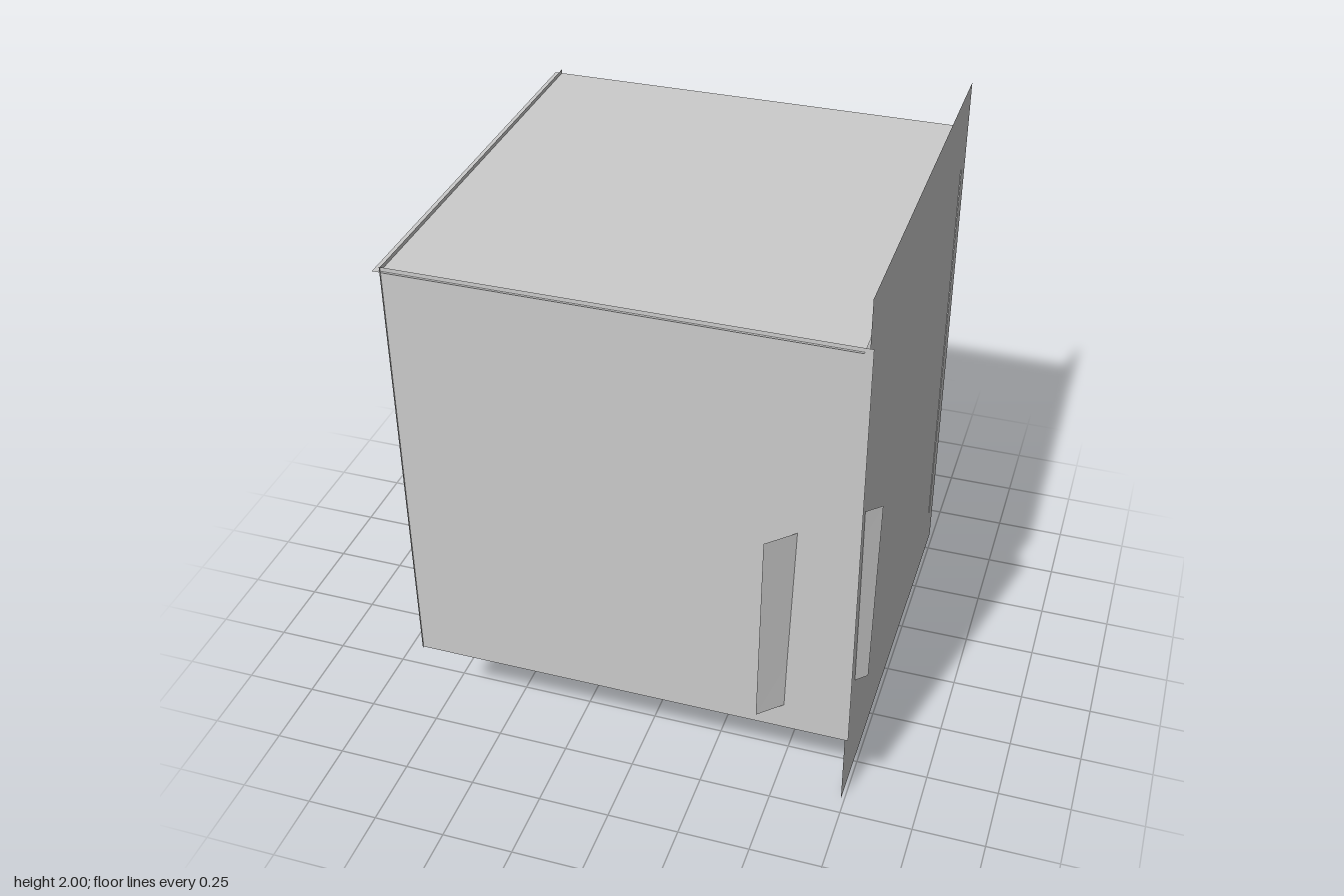
import * as THREE from 'three';

const material = new THREE.MeshStandardMaterial({ color: 0xcccccc, side: THREE.DoubleSide, flatShading: true });

function add(group, name, geometry, x = 0, y = 0, z = 0) {
  const mesh = new THREE.Mesh(geometry, material);
  mesh.name = name;
  mesh.position.set(x, y, z);
  group.add(mesh);
  return mesh;
}

// Flat sheet from four corners given in order around its edge
function sheet(corners) {
  const geometry = new THREE.BufferGeometry();
  geometry.setAttribute('position', new THREE.Float32BufferAttribute(corners.flat(), 3));
  geometry.setIndex([0, 1, 2, 0, 2, 3]);
  geometry.computeVertexNormals();
  return geometry;
}

export function createModel() {
  const model = new THREE.Group();
  model.name = 'cabinet';
  const side = 1.528;

  // Thin overlapping panels; the underside is open
  add(model, 'frontPanel', new THREE.PlaneGeometry(side, side), 0, 1.12, 0.763);
  add(model, 'backPanel', new THREE.PlaneGeometry(side, side).rotateY(Math.PI), -0.022, 0.939, -0.756);
  add(model, 'leftSidePanel', new THREE.PlaneGeometry(side, side).rotateY(-Math.PI / 2), -0.76, 1.12, 0.006);
  add(model, 'tallSidePanel', new THREE.PlaneGeometry(side, 2).rotateY(Math.PI / 2), 0.738, 1, -0.077);
  add(model, 'topPanel', new THREE.PlaneGeometry(1.523, side).rotateX(-Math.PI / 2), -0.0235, 1.87, 0.007);

  // Slightly tilted strip cutting diagonally through the front corner
  add(model, 'cornerHandle', sheet([
    [0.467, 0.455, 0.835], [0.775, 0.455, 0.543], [0.785, 1.18, 0.55], [0.48, 1.18, 0.845],
  ]));

  // Small fitting inside: a toothed disc, a plain disc and a ribbed stem
  const fitting = new THREE.Group();
  fitting.name = 'innerFitting';
  model.add(fitting);
  const teeth = new THREE.Shape();
  for (let i = 0; i < 32; i++) {
    const a = (i / 32) * Math.PI * 2;
    const r = i % 2 ? 0.058 : 0.065;
    teeth[i ? 'lineTo' : 'moveTo'](r * Math.cos(a), r * Math.sin(a));
  }
  const toothed = new THREE.ExtrudeGeometry(teeth, { depth: 0.01, bevelEnabled: false }).rotateX(-Math.PI / 2);
  add(fitting, 'toothedDisc', toothed, 0, 0.605, -0.03);
  add(fitting, 'plainDisc', new THREE.CylinderGeometry(0.05, 0.05, 0.01, 24), -0.1, 0.625, -0.05);
  for (let i = 0; i < 10; i++) {
    const a = (i / 10) * Math.PI * 2;
    add(fitting, 'stemRib', new THREE.CylinderGeometry(0.005, 0.005, 0.1, 6),
      0.04 * Math.cos(a), 0.665, -0.03 + 0.04 * Math.sin(a));
  }
  return model;
}
